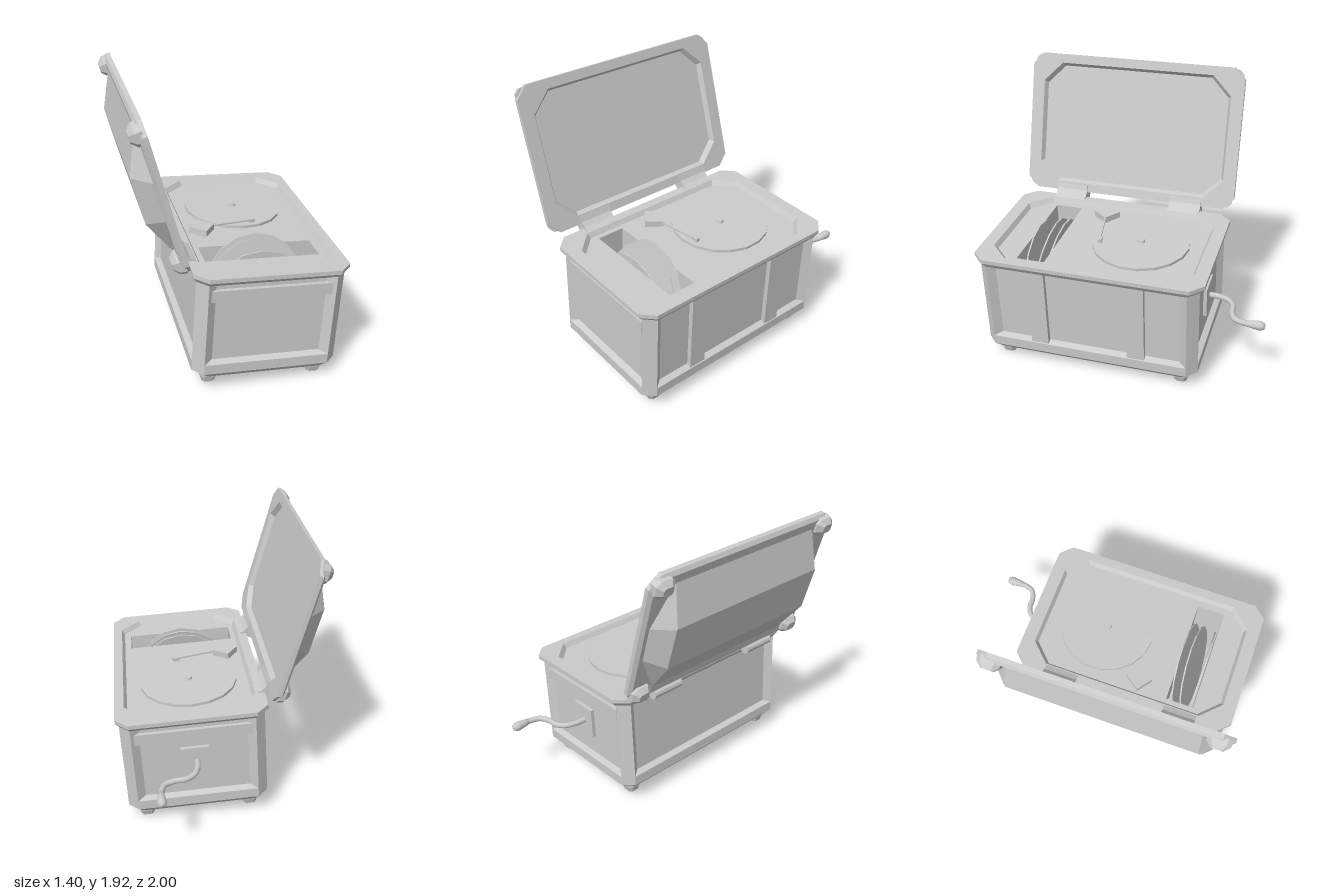
import * as THREE from 'three';

const mat = new THREE.MeshStandardMaterial({ color: 0xcccccc, flatShading: true, side: THREE.DoubleSide });
const smooth = new THREE.MeshStandardMaterial({ color: 0xcccccc });

function add(parent, name, geometry, x = 0, y = 0, z = 0, material = mat) {
  const mesh = new THREE.Mesh(geometry, material);
  mesh.name = name;
  mesh.position.set(x, y, z);
  parent.add(mesh);
  return mesh;
}

// Rectangle with cut corners, as [x, z] points
function octagon(hx, hz, cx, cz = cx) {
  return [
    [hx, -hz + cz], [hx, hz - cz], [hx - cx, hz], [-hx + cx, hz],
    [-hx, hz - cz], [-hx, -hz + cz], [-hx + cx, -hz], [hx - cx, -hz],
  ];
}

// Skin over stacked octagons; each ring is [y, halfX, halfZ, cutX, cutZ]
function loft(rings, capStart = false, capEnd = false) {
  const pos = [], idx = [], n = 8;
  for (const [y, ...o] of rings) for (const [x, z] of octagon(...o)) pos.push(x, y, z);
  for (let r = 0; r < rings.length - 1; r++) {
    for (let j = 0; j < n; j++) {
      const a = r * n + j, b = r * n + (j + 1) % n;
      idx.push(a, a + n, b, b, a + n, b + n);
    }
  }
  const last = (rings.length - 1) * n;
  for (let j = 1; j < n - 1; j++) {
    if (capStart) idx.push(0, j, j + 1);
    if (capEnd) idx.push(last, last + j + 1, last + j);
  }
  const g = new THREE.BufferGeometry();
  g.setAttribute('position', new THREE.Float32BufferAttribute(pos, 3));
  g.setIndex(idx);
  const flat = g.toNonIndexed();
  flat.computeVertexNormals();
  return flat;
}

const toShape = (pts) => new THREE.Shape(pts.map(([x, y]) => new THREE.Vector2(x, y)));

function buildCase() {
  const body = new THREE.Group();
  body.name = 'case';

  add(body, 'baseSkirt', loft([
    [0, 0.447, 0.73, 0.065], [0.05, 0.492, 0.775, 0.07],
    [0.12, 0.492, 0.775, 0.07], [0.14, 0.45, 0.733, 0.05],
  ], true));
  add(body, 'recessedWalls', loft([[0.1, 0.452, 0.735, 0.05], [0.73, 0.452, 0.735, 0.05]]));
  add(body, 'topRim', loft([
    [0.71, 0.45, 0.733, 0.05], [0.71, 0.492, 0.775, 0.07], [0.745, 0.515, 0.81, 0.085],
    [0.774, 0.515, 0.81, 0.085], [0.774, 0.45, 0.717, 0.14], [0.74, 0.43, 0.697, 0.135],
  ]));

  // Deck with the record slot cut out, and the pit below it
  const slot = { x: -0.006, z: 0.42, hx: 0.388, hz: 0.1 };
  const deck = toShape(octagon(0.43, 0.697, 0.135));
  deck.holes.push(toShape([[-1, -1], [-1, 1], [1, 1], [1, -1]].map(
    ([a, b]) => [slot.x + a * slot.hx, slot.z + b * slot.hz])));
  add(body, 'deck', new THREE.ShapeGeometry(deck).rotateX(Math.PI / 2), 0, 0.74, 0);
  add(body, 'recordPit', loft([
    [0.74, slot.hx, slot.hz, 0.001], [0.08, slot.hx, slot.hz, 0.001],
  ], false, true), slot.x, 0, slot.z);

  // Corner posts and feet
  for (const sx of [-1, 1]) {
    for (const sz of [-1, 1]) {
      const post = toShape([
        [0.492, 0.705], [0.422, 0.775], [0.365, 0.734], [0.365, 0.65], [0.451, 0.65],
      ].map(([x, z]) => [sx * x, sz * z]));
      add(body, 'cornerPost', new THREE.ExtrudeGeometry(post, { depth: 0.63, bevelEnabled: false })
        .rotateX(Math.PI / 2), 0, 0.72, 0);
      add(body, 'foot', loft([
        [-0.07, 0.043, 0.043, 0.018], [-0.03, 0.055, 0.055, 0.024], [0.01, 0.06, 0.06, 0.026],
      ], true, true), sx * 0.367, 0, sz * 0.647);
    }
  }

  // Rails and foot bars on both ends
  for (const sz of [-1, 1]) {
    add(body, 'endRail', new THREE.BoxGeometry(0.8, 0.08, 0.04), 0, 0.62, sz * 0.742);
    add(body, 'footBar', new THREE.BoxGeometry(0.66, 0.03, 0.05), 0, -0.01, sz * 0.647);
  }
  // Stiles on one long side
  for (const z of [0.352, -0.348]) {
    add(body, 'sideStile', new THREE.BoxGeometry(0.045, 0.62, 0.125), 0.463, 0.41, z);
  }
  return body;
}

function buildDeckParts(body) {
  add(body, 'turntable', new THREE.CylinderGeometry(0.345, 0.345, 0.02, 18), -0.012, 0.75, -0.259);
  add(body, 'spindle', new THREE.CylinderGeometry(0.024, 0.028, 0.02, 12), -0.012, 0.768, -0.259);

  const arm = new THREE.Group();
  arm.name = 'toneArm';
  add(arm, 'armBase', new THREE.BoxGeometry(0.132, 0.045, 0.132), -0.32, 0.763, 0.092).rotation.y = -0.64;
  add(arm, 'armRod', new THREE.BoxGeometry(0.28, 0.012, 0.014), -0.094, 0.775, 0.056).rotation.y = 0.18;
  add(arm, 'needleHead', new THREE.BoxGeometry(0.045, 0.025, 0.03), 0.055, 0.773, 0.025).rotation.y = 0.18;
  body.add(arm);

  // Records leaning in the pit
  for (const [z, lean] of [[0.37, -0.17], [0.435, -0.18], [0.502, 0]]) {
    const disc = new THREE.CylinderGeometry(0.333, 0.333, 0.01, 16).rotateX(Math.PI / 2);
    add(body, 'record', disc, -0.006, lean ? 0.49 : 0.45, z).rotation.x = lean;
  }
}

function buildCrank() {
  const crank = new THREE.Group();
  crank.name = 'crank';
  add(crank, 'crankPlate', new THREE.BoxGeometry(0.2, 0.22, 0.03), 0, 0.4, -0.745);
  const path = new THREE.CatmullRomCurve3([
    [-0.01, -0.75], [-0.005, -0.83], [0.025, -0.905], [0.08, -0.942],
    [0.16, -0.95], [0.225, -0.98], [0.25, -1.04], [0.255, -1.1],
  ].map(([x, z]) => new THREE.Vector3(x, 0.4, z)));
  add(crank, 'crankArm', new THREE.TubeGeometry(path, 32, 0.02, 10), 0, 0, 0, smooth);
  const knob = [[0, 0], [0.02, 0], [0.026, 0.04], [0.033, 0.085], [0.031, 0.11], [0.02, 0.128], [0, 0.133]];
  add(crank, 'crankKnob', new THREE.LatheGeometry(knob.map(([r, y]) => new THREE.Vector2(r, y)), 12)
    .rotateX(-Math.PI / 2), 0.255, 0.4, -1.06, smooth);
  return crank;
}

function buildLid() {
  const lid = new THREE.Group();
  lid.name = 'lid';
  // Inner panel, rim and faceted dome in one skin
  add(lid, 'lidShell', loft([
    [0.035, 0.43, 0.697, 0.135], [0, 0.45, 0.717, 0.14], [0, 0.515, 0.81, 0.08],
    [0.03, 0.515, 0.81, 0.08], [0.05, 0.49, 0.785, 0.075], [0.05, 0.43, 0.755, 0.3, 0.14],
    [0.165, 0.165, 0.64, 0.005],
  ], true, true));
  for (const x of [-0.435, 0.435]) {
    for (const z of [-0.715, 0.715]) {
      add(lid, 'lidCorner', loft([
        [0.02, 0.068, 0.08, 0.03], [0.065, 0.062, 0.074, 0.03], [0.1, 0.032, 0.04, 0.015],
      ], true, true), x, 0, z);
    }
  }
  lid.position.set(-0.48, 1.4275, 0.193);
  lid.rotation.z = 1.832;
  return lid;
}

function buildHinge(z) {
  const hinge = new THREE.Group();
  hinge.name = 'hinge';
  add(hinge, 'hingeBarrel', new THREE.CylinderGeometry(0.04, 0.04, 0.24, 12).rotateX(Math.PI / 2), -0.367, 0.897, 0);
  const leaf = toShape([
    [-0.37, 0.98], [-0.355, 0.985], [-0.34, 0.945], [-0.31, 0.915], [-0.27, 0.896],
    [-0.27, 0.885], [-0.33, 0.87], [-0.37, 0.9],
  ]);
  add(hinge, 'hingeLeaf', new THREE.ExtrudeGeometry(leaf, { depth: 0.24, bevelEnabled: false }), 0, 0, -0.12);
  hinge.position.z = z;
  return hinge;
}

export function createModel() {
  const model = new THREE.Group();
  model.name = 'recordPlayer';
  const body = buildCase();
  buildDeckParts(body);
  body.add(buildCrank());
  // The case leans slightly to one side
  body.position.set(0.143, 0.097, 0.193);
  body.rotation.z = -0.056;
  model.add(body, buildLid(), buildHinge(0.635), buildHinge(-0.255));
  return model;
}
